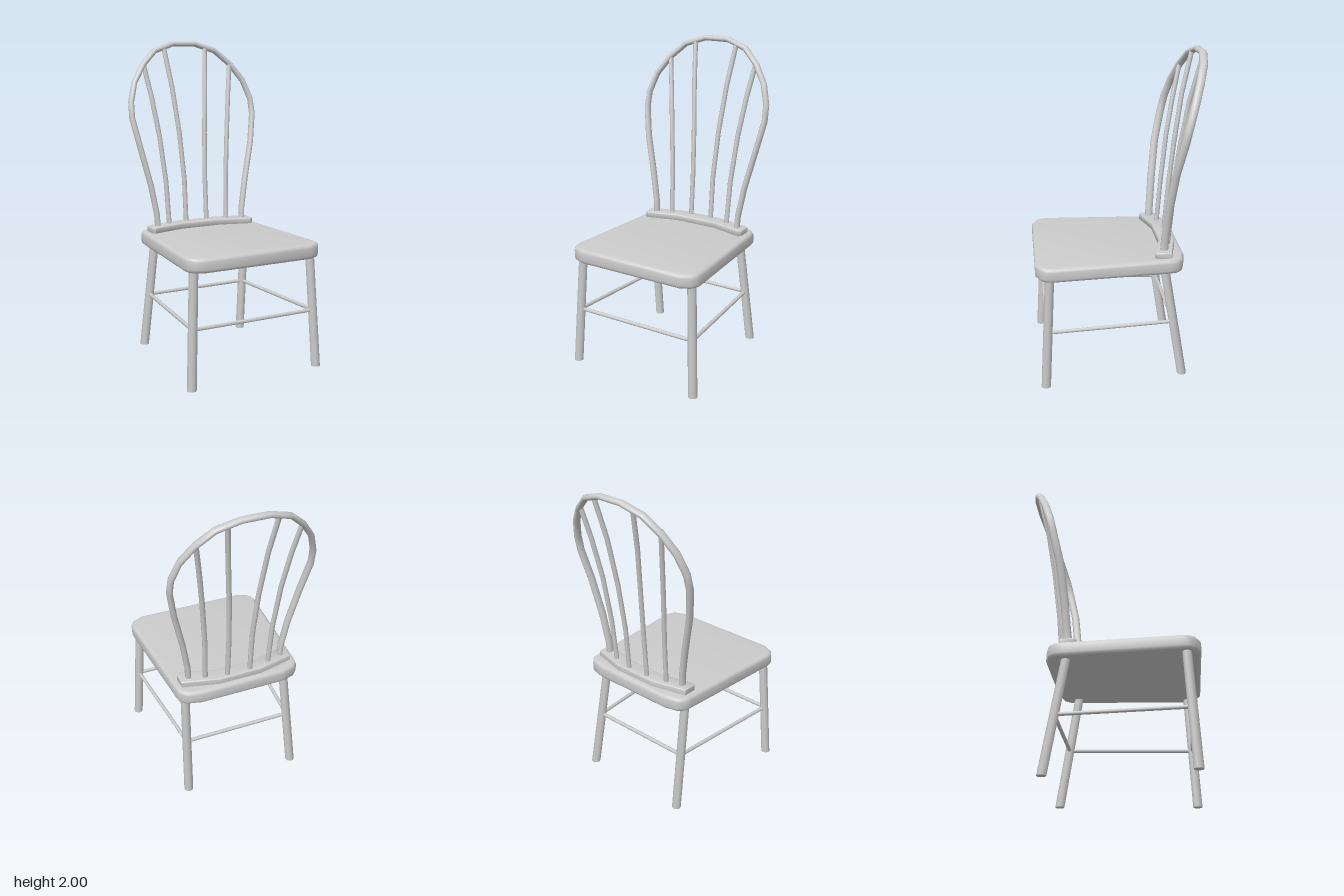
import * as THREE from 'three';
import { toCreasedNormals } from 'three/addons/utils/BufferGeometryUtils.js';

const V = (x, y, z) => new THREE.Vector3(x, y, z);
const material = new THREE.MeshStandardMaterial({ color: 0xcccccc });

function add(group, name, geometry) {
  const mesh = new THREE.Mesh(geometry, material);
  mesh.name = name;
  group.add(mesh);
  return mesh;
}

// Oval section swept along a polyline: a is the half width in the bow's plane, b the half depth
function sweep(points, a, b, sides) {
  const pos = [], index = [], last = points.length - 1;
  points.forEach((p, i) => {
    const t = points[Math.min(i + 1, last)].clone().sub(points[Math.max(i - 1, 0)]).normalize();
    const n = t.clone().cross(V(0, 0, 1)).normalize();
    const d = t.clone().cross(n);
    for (let j = 0; j < sides; j++) {
      const ang = (j + 0.5) / sides * Math.PI * 2;
      const q = p.clone().addScaledVector(n, a * Math.cos(ang)).addScaledVector(d, b * Math.sin(ang));
      pos.push(q.x, q.y, q.z);
      if (i < last) {
        const k = i * sides + j, m = i * sides + (j + 1) % sides;
        index.push(k, m, k + sides, m, m + sides, k + sides);
      }
    }
  });
  const g = new THREE.BufferGeometry();
  g.setAttribute('position', new THREE.Float32BufferAttribute(pos, 3));
  g.setIndex(index);
  g.computeVertexNormals();
  return g;
}

// Horizontal slab with softened edges; half outline [x, z] from front to back, mirrored in x
function slab(half, y0, y1, bevel) {
  const outline = [...half, ...half.map(([x, z]) => [-x, z]).reverse()];
  const shape = new THREE.Shape(outline.map(([x, z]) => new THREE.Vector2(x, -z)));
  const g = new THREE.ExtrudeGeometry(shape, {
    depth: y1 - y0 - 2 * bevel, bevelEnabled: true, bevelThickness: bevel,
    bevelSize: bevel, bevelOffset: -bevel, bevelSegments: 3,
  });
  g.rotateX(-Math.PI / 2).translate(0, y0 + bevel, 0);
  return toCreasedNormals(g, 0.9);
}

// Leg leaning from foot to top, with both ends cut level
function leg(foot, top) {
  const h = top.y - foot.y;
  const g = new THREE.CylinderGeometry(0.028, 0.029, h, 10).translate(0, h / 2, 0);
  const p = g.attributes.position;
  for (let i = 0; i < p.count; i++) {
    const c = foot.clone().lerp(top, p.getY(i) / h);
    p.setXYZ(i, p.getX(i) + c.x, c.y, p.getZ(i) + c.z);
  }
  return g;
}

function rod(group, name, from, to, r) {
  const dir = to.clone().sub(from);
  const mesh = add(group, name, new THREE.CylinderGeometry(r, r, dir.length(), 8));
  mesh.position.copy(from).add(to).multiplyScalar(0.5);
  mesh.quaternion.setFromUnitVectors(V(0, 1, 0), dir.normalize());
}

export function createModel() {
  const chair = new THREE.Group();
  chair.name = 'chair';

  // Tapered seat and the curved rail standing on its back edge
  add(chair, 'seat', slab([[0.355, 0.527], [0.42, 0.497], [0.443, 0.465], [0.45, 0.425],
    [0.402, -0.28], [0.395, -0.33], [0.36, -0.367], [0.27, -0.39]], 0.7, 0.79, 0.022));
  add(chair, 'backRail', slab([[0.14, -0.255], [0.347, -0.2], [0.365, -0.215],
    [0.365, -0.3], [0.14, -0.355]], 0.78, 0.828, 0.008));

  // Bent hoop, from one foot over the top to the other
  const half = [[0.308, 0.81, -0.26], [0.312, 0.9, -0.265], [0.345, 1.09, -0.28], [0.401, 1.33, -0.308],
    [0.437, 1.52, -0.35], [0.433, 1.62, -0.373], [0.394, 1.74, -0.41],
    [0.318, 1.848, -0.45], [0.22, 1.937, -0.487], [0.082, 1.982, -0.511]];
  const hoop = [...half.map(p => V(...p)), ...half.map(([x, y, z]) => V(-x, y, z)).reverse()];
  add(chair, 'backHoop', sweep(hoop, 0.018, 0.025, 10));

  // Spindles, legs and stretchers on both sides
  const spindles = [
    [[0.075, 0.81, -0.325], [0.076, 1.1, -0.347], [0.092, 1.4, -0.383], [0.12, 1.7, -0.43], [0.15, 1.957, -0.492]],
    [[0.21, 0.81, -0.297], [0.22, 1.1, -0.322], [0.247, 1.4, -0.358], [0.28, 1.65, -0.403], [0.314, 1.852, -0.448]],
  ];
  const stretcherY = 0.36, legTop = 0.72;
  const at = ([foot, top]) => foot.clone().lerp(top, stretcherY / legTop);
  const legs = {};
  for (const s of [1, -1]) {
    const side = s > 0 ? 'left' : 'right';
    spindles.forEach((pts, i) => add(chair, side + (i ? 'OuterSpindle' : 'InnerSpindle'),
      sweep(pts.map(([x, y, z]) => V(s * x, y, z)), 0.0155, 0.0155, 8)));
    legs[side] = {
      front: [V(s * 0.431, 0, 0.483), V(s * 0.396, legTop, 0.443)],
      back: [V(s * 0.366, 0, -0.378), V(s * 0.333, legTop, -0.262)],
    };
    for (const end of ['front', 'back']) add(chair, `${end}Leg_${side}`, leg(...legs[side][end]));
    rod(chair, side + 'Stretcher', at(legs[side].front), at(legs[side].back), 0.012);
  }
  for (const end of ['front', 'back'])
    rod(chair, end + 'Stretcher', at(legs.left[end]), at(legs.right[end]), 0.012);

  return chair;
}
